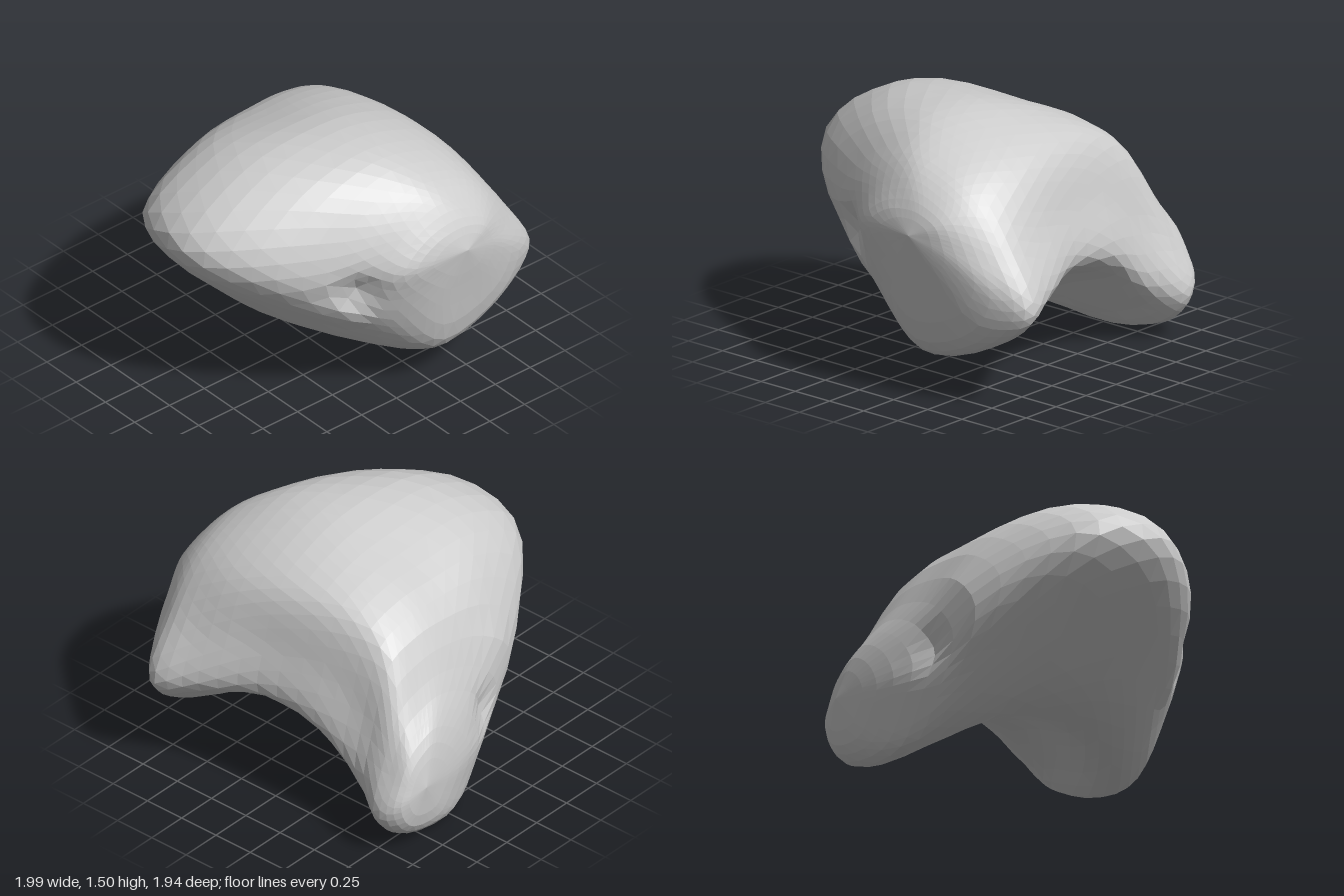
import * as THREE from 'three';

const ALONG = 32;
const AROUND = 40;
const FRONT = new THREE.Vector3(0.33, 0.96, 0.97);
const BACK = new THREE.Vector3(0.6, 0.42, -0.97);

// One cross-section: its depth and six corners, with swollen points
// added by rule on the back, shoulder, side wall and underside.
function section(z, tip, top, crest, rim, under, bottom) {
  const at = ([x, y]) => new THREE.Vector3(x, y, z);
  const swell = (a, b, amount) => new THREE.Vector3(
    (a[0] + b[0]) / 2 - (b[1] - a[1]) * amount,
    (a[1] + b[1]) / 2 + (b[0] - a[0]) * amount, z);
  return [
    at(tip), swell(tip, top, 0.14), at(top), swell(top, crest, 0.08), at(crest),
    swell(crest, rim, 0.05), at(rim), at(under), at(bottom), swell(bottom, tip, 0.075),
  ];
}

// Soft dent or swelling around a point
function push(p, centre, radius, shift) {
  const d = p.distanceTo(centre) / radius;
  p.addScaledVector(shift, Math.exp(-d * d));
}

function dent(p) {
  const v = (x, y, z) => new THREE.Vector3(x, y, z);
  push(p, v(-0.28, 0.8, 0.76), 0.13, v(0.03, 0.02, -0.07)); // front hollow
  push(p, v(-0.32, 0.66, 0.66), 0.1, v(-0.02, -0.01, 0.03)); // lip below it
  push(p, v(-0.08, 0.52, -0.78), 0.12, v(0.02, 0, 0.05)); // back hollow
  push(p, v(-0.25, 0.82, -0.73), 0.18, v(-0.01, 0.01, -0.03)); // back swelling
  return p;
}

function bodyGeometry() {
  // Sections from front to back
  const sections = [
    section(0.92, [-0.02, 0.94], [0.3, 1.1], [0.5, 1.03], [0.57, 0.85], [0.5, 0.73], [0.26, 0.69]),
    section(0.82, [-0.2, 0.9], [0.2, 1.25], [0.58, 1.1], [0.84, 0.65], [0.7, 0.42], [0.27, 0.28]),
    section(0.7, [-0.4, 0.9], [0.1, 1.35], [0.6, 1.18], [0.99, 0.57], [0.8, 0.37], [0.23, 0.2]),
    section(0.45, [-0.76, 1], [0, 1.465], [0.64, 1.23], [0.91, 0.6], [0.55, 0.42], [0.02, 0.24]),
    section(0.1, [-0.99, 1.08], [0, 1.485], [0.61, 1.27], [0.78, 0.66], [0.35, 0.49], [-0.2, 0.3]),
    section(-0.3, [-0.93, 1.06], [0, 1.36], [0.54, 1.25], [0.73, 0.57], [0.35, 0.4], [-0.17, 0.24]),
    section(-0.6, [-0.6, 0.86], [0.1, 1.19], [0.53, 1.11], [0.73, 0.33], [0.45, 0.17], [0, 0.1]),
    section(-0.8, [-0.14, 0.5], [0.28, 0.85], [0.6, 0.77], [0.82, 0.25], [0.65, 0.07], [0.16, 0.01]),
    section(-0.92, [0.25, 0.38], [0.48, 0.65], [0.66, 0.56], [0.77, 0.33], [0.68, 0.17], [0.42, 0.13]),
  ];
  // Lengthwise curves join the matching corners and meet at both ends
  const rails = sections[0].map((_, k) =>
    new THREE.CatmullRomCurve3([FRONT, ...sections.map((s) => s[k]), BACK]));

  // Staggered rings between the two end points
  const points = [];
  for (let i = 1; i < ALONG; i++) {
    const ring = new THREE.CatmullRomCurve3(rails.map((r) => r.getPoint(i / ALONG)), true);
    for (let j = 0; j < AROUND; j++) {
      points.push(dent(ring.getPoint((j + (i % 2) * 0.5) / AROUND)));
    }
  }
  const front = points.length, back = front + 1;
  points.push(FRONT, BACK);

  const index = [];
  const last = (ALONG - 2) * AROUND;
  for (let j = 0; j < AROUND; j++) {
    const n = (j + 1) % AROUND;
    index.push(front, n, j, back, last + j, last + n);
    for (let row = 0; row < last; row += AROUND) {
      const a = row + j, b = row + n, c = a + AROUND, d = b + AROUND;
      // Alternate the diagonal to follow the stagger
      if ((row / AROUND) % 2) index.push(a, b, c, b, d, c);
      else index.push(a, b, d, a, d, c);
    }
  }
  const geometry = new THREE.BufferGeometry().setFromPoints(points);
  geometry.setIndex(index);
  geometry.computeVertexNormals();
  return geometry;
}

export function createModel() {
  const grey = new THREE.MeshStandardMaterial({ color: 0xcccccc, flatShading: true });
  grey.name = 'stone grey';
  const body = new THREE.Mesh(bodyGeometry(), grey);
  body.name = 'curvedBody';
  const model = new THREE.Group();
  model.name = 'curvedStone';
  model.add(body);
  return model;
}
